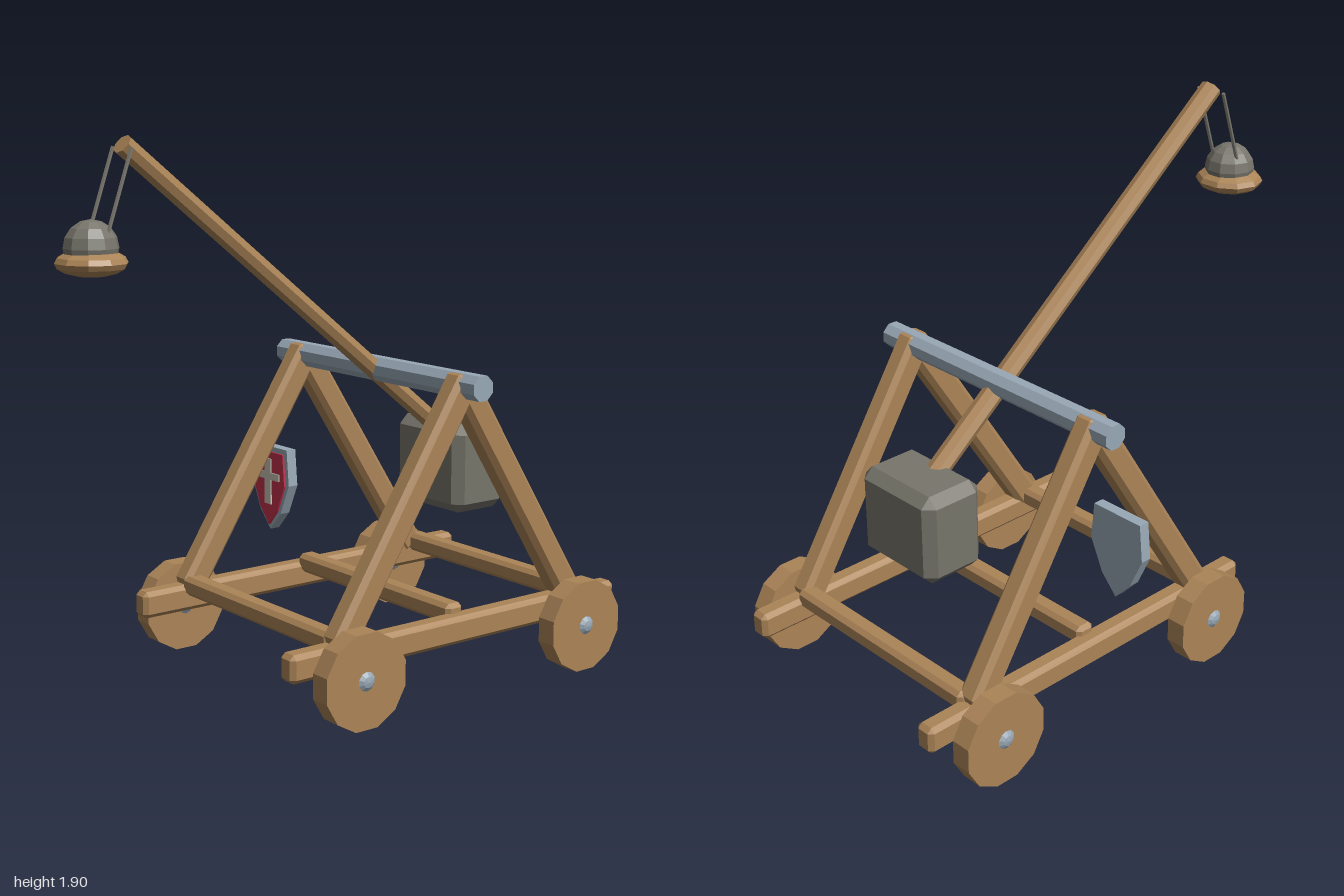
import * as THREE from 'three';
import { ConvexGeometry } from 'three/addons/geometries/ConvexGeometry.js';

const CX = 0.007; // the frame sits slightly off centre because of the shield

function material(name, color) {
  const m = new THREE.MeshStandardMaterial({ color });
  m.name = name;
  return m;
}

// Faceted normals
function flat(geometry) {
  const g = geometry.index ? geometry.toNonIndexed() : geometry;
  g.computeVertexNormals();
  return g;
}

// Box with all edges cut at 45 degrees
function bevelBox(w, h, d, c) {
  const pts = [];
  for (const x of [-1, 1]) for (const y of [-1, 1]) for (const z of [-1, 1]) {
    const [a, b, e] = [w / 2, h / 2, d / 2];
    pts.push(new THREE.Vector3(x * a, y * (b - c), z * (e - c)));
    pts.push(new THREE.Vector3(x * (a - c), y * b, z * (e - c)));
    pts.push(new THREE.Vector3(x * (a - c), y * (b - c), z * e));
  }
  return new ConvexGeometry(pts);
}

function polygon(points) {
  return new THREE.Shape(points.map(([x, y]) => new THREE.Vector2(x, y)));
}

export function createModel() {
  const group = new THREE.Group();
  group.name = 'catapult';
  const wood = material('wood', 0xab8457);
  const steel = material('steel', 0x98a8b5);
  const stone = material('stone', 0x77756b);
  const red = material('red paint', 0xc0304a);
  const pale = material('pale paint', 0xc6c0b4);

  function add(name, geometry, mat, x = 0, y = 0, z = 0) {
    const mesh = new THREE.Mesh(geometry, mat);
    mesh.name = name;
    mesh.position.set(x, y, z);
    group.add(mesh);
    return mesh;
  }

  // Aims a mesh built along y from point a to point b
  function aim(mesh, a, b) {
    mesh.position.copy(a).add(b).multiplyScalar(0.5);
    mesh.quaternion.setFromUnitVectors(new THREE.Vector3(0, 1, 0), b.clone().sub(a).normalize());
    return mesh;
  }

  // Side rails, A-frame legs and wheels on both sides
  const wheelGeo = flat(new THREE.CylinderGeometry(0.168, 0.168, 0.073, 12));
  wheelGeo.rotateY(Math.PI / 12).rotateZ(Math.PI / 2);
  const hubGeo = flat(new THREE.SphereGeometry(0.05, 10, 8).rotateZ(Math.PI / 2));
  for (const side of [-1, 1]) {
    const label = side > 0 ? 'left' : 'right';
    const x = CX + side * 0.445;
    add(label + 'Rail', bevelBox(0.076, 0.097, 1.47, 0.016), wood, x, 0.222, -0.265);
    for (const dir of [-1, 1]) {
      const end = dir > 0 ? 'Front' : 'Rear';
      const a = new THREE.Vector3(x, 0.25, -0.262 + dir * 0.525);
      const b = new THREE.Vector3(x, 1.095, -0.262 - dir * 0.016);
      aim(add(label + end + 'Leg', bevelBox(0.09, a.distanceTo(b), 0.1, 0.018), wood), a, b);
      const wx = CX + side * 0.5365, wz = -0.262 + dir * 0.5;
      add(label + end + 'Wheel', wheelGeo, wood, wx, 0.165, wz);
      add(label + end + 'Hub', hubGeo, steel, wx, 0.167, wz);
    }
  }

  // Cross beams
  for (const [name, z] of [['front', 0.26], ['middle', -0.264], ['rear', -0.8]]) {
    add(name + 'CrossBeam', bevelBox(0.87, 0.07, 0.074, 0.015), wood, CX, 0.268, z);
  }

  // Pivot bar
  const barGeo = flat(new THREE.CylinderGeometry(0.046, 0.046, 1.11, 8));
  add('pivotBar', barGeo.rotateY(Math.PI / 8).rotateZ(Math.PI / 2), steel, CX, 1.07, -0.264);

  // Throwing arm and counterweight
  const armTip = new THREE.Vector3(CX, 1.877, 0.77);
  const armEnd = new THREE.Vector3(CX, 0.795, -0.59);
  const armGeo = flat(new THREE.CylinderGeometry(0.04, 0.04, armTip.distanceTo(armEnd), 8));
  aim(add('throwingArm', armGeo.scale(1, 1, 0.88), wood), armEnd, armTip);
  add('counterweight', bevelBox(0.36, 0.325, 0.24, 0.035), stone, CX, 0.693, -0.611);

  // Hanging bowl with its stone
  const bowlGeo = flat(new THREE.SphereGeometry(1, 10, 8).scale(0.125, 0.045, 0.117));
  add('bowl', bowlGeo, wood, CX, 1.512, 0.889);
  add('stoneBall', flat(new THREE.SphereGeometry(0.09, 10, 8)), stone, CX, 1.558, 0.889);
  for (const side of [-1, 1]) {
    const top = new THREE.Vector3(CX + side * 0.057, 1.868, 0.77);
    const low = new THREE.Vector3(CX + side * 0.057, 1.54, 0.883);
    const rope = flat(new THREE.CylinderGeometry(0.007, 0.007, top.distanceTo(low), 6));
    aim(add(side > 0 ? 'leftRope' : 'rightRope', rope, stone), low, top);
  }

  // Shield: steel plate, painted face and cross
  const outline = [[-0.105, 0.16], [-0.118, 0.025], [-0.065, -0.09], [0, -0.16],
    [0.065, -0.09], [0.118, 0.025], [0.105, 0.16]];
  const plate = (points, depth) => flat(new THREE.ExtrudeGeometry(polygon(points), { depth, bevelEnabled: false }));
  add('shieldPlate', plate(outline, 0.04), steel, -0.475, 0.563, -0.176);
  add('shieldFace', plate(outline.map(([x, y]) => [x * 0.84, y * 0.88]), 0.008), red, -0.475, 0.563, -0.136);
  const cross = [[-0.02, 0.115], [-0.02, 0.062], [-0.07, 0.062], [-0.07, 0.035], [-0.02, 0.035], [-0.02, -0.06],
    [0.02, -0.06], [0.02, 0.035], [0.07, 0.035], [0.07, 0.062], [0.02, 0.062], [0.02, 0.115]];
  add('shieldCross', plate(cross, 0.005), pale, -0.475, 0.563, -0.128);

  return group;
}
